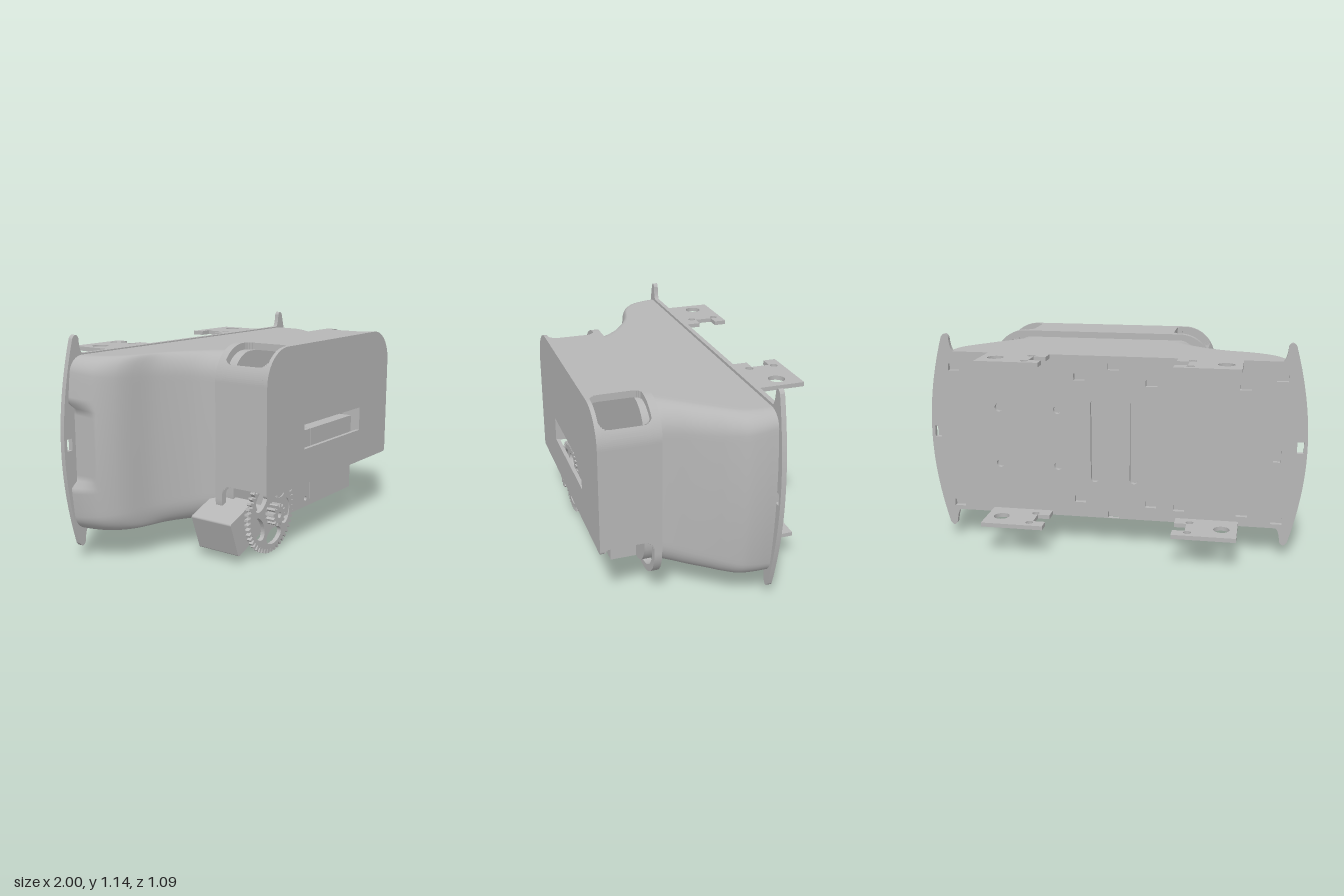
import * as THREE from 'three';

const grey = new THREE.MeshStandardMaterial({ color: 0xb6b6b6 });
grey.name = 'plain grey';

export function createModel() {
  const model = new THREE.Group();

  const add = (name, geo, parent = model) => {
    const mesh = new THREE.Mesh(geo, grey);
    mesh.name = name;
    parent.add(mesh);
    return mesh;
  };
  const group = (name) => {
    const g = new THREE.Group();
    g.name = name;
    model.add(g);
    return g;
  };
  const extrude = (shape, z0, z1) =>
    new THREE.ExtrudeGeometry(shape, { depth: z1 - z0, bevelEnabled: false, curveSegments: 20 }).translate(0, 0, z0);
  const polygon = (pts) => new THREE.Shape(pts.map(([x, y]) => new THREE.Vector2(x, y)));
  const rectHole = (shape, x, y, w, h) => shape.holes.push(new THREE.Path([
    new THREE.Vector2(x - w / 2, y - h / 2), new THREE.Vector2(x + w / 2, y - h / 2),
    new THREE.Vector2(x + w / 2, y + h / 2), new THREE.Vector2(x - w / 2, y + h / 2)]));
  const ellipseHole = (shape, x, y, rx, ry = rx, turn = 0) =>
    shape.holes.push(new THREE.Path().absellipse(x, y, rx, ry, 0, Math.PI * 2, false, turn));
  const box = (name, x0, x1, y0, y1, z0, z1) => add(name, new THREE.BoxGeometry(x1 - x0, y1 - y0, z1 - z0)
    .translate((x0 + x1) / 2, (y0 + y1) / 2, (z0 + z1) / 2));
  const roundedRect = (x0, x1, y0, y1, r, Type = THREE.Shape) => {
    const s = new Type();
    s.absarc(x1 - r, y1 - r, r, 0, Math.PI / 2);
    s.absarc(x0 + r, y1 - r, r, Math.PI / 2, Math.PI);
    s.absarc(x0 + r, y0 + r, r, Math.PI, Math.PI * 1.5);
    s.absarc(x1 - r, y0 + r, r, Math.PI * 1.5, Math.PI * 2);
    s.closePath();
    return s;
  };

  // Back plate with bowed ends, four horns, slots and fixing holes
  const plate = new THREE.Shape();
  plate.moveTo(-0.86, 1.045);
  plate.lineTo(0.86, 1.045);
  plate.quadraticCurveTo(0.878, 1.06, 0.882, 1.12);
  plate.quadraticCurveTo(0.9, 1.155, 0.922, 1.12);
  plate.quadraticCurveTo(1, 0.85, 1, 0.603);
  plate.quadraticCurveTo(1, 0.355, 0.922, 0.085);
  plate.quadraticCurveTo(0.9, 0.05, 0.882, 0.085);
  plate.quadraticCurveTo(0.878, 0.145, 0.86, 0.16);
  plate.lineTo(-0.86, 0.16);
  plate.quadraticCurveTo(-0.878, 0.145, -0.882, 0.085);
  plate.quadraticCurveTo(-0.9, 0.05, -0.922, 0.085);
  plate.quadraticCurveTo(-1, 0.355, -1, 0.603);
  plate.quadraticCurveTo(-1, 0.85, -0.922, 1.12);
  plate.quadraticCurveTo(-0.9, 1.155, -0.882, 1.12);
  plate.quadraticCurveTo(-0.878, 1.06, -0.86, 1.045);
  for (const x of [0.1, -0.11]) plate.holes.push(roundedRect(x - 0.022, x + 0.022, 0.36, 0.81, 0.021, THREE.Path));
  for (const x of [0.62, 0.3]) for (const y of [0.75, 0.44]) ellipseHole(plate, x, y, 0.022);
  for (const [x, y] of [[0.18, 0.93], [0, 0.99], [-0.2, 0.91], [-0.68, 0.91], [-0.86, 0.96], [0.86, 0.96], [0.86, 0.2],
    [0.18, 0.26], [0, 0.18], [-0.2, 0.25], [-0.35, 0.24], [-0.68, 0.23], [-0.86, 0.2]]) rectHole(plate, x, y, 0.06, 0.036);
  rectHole(plate, -0.85, 0.57, 0.04, 0.1);
  for (const x of [-0.965, 0.965]) rectHole(plate, x, 0.603, 0.034, 0.06);
  add('backPlate', extrude(plate, -0.305, -0.28));

  // Small spacers between plate and housing
  for (const x of [-0.84, 0, 0.84]) for (const y of [0.2, 0.6, 1.0])
    if (x || y !== 0.6) box('spacer', x - 0.03, x + 0.03, y - 0.015, y + 0.015, -0.282, -0.265);

  // Mounting tabs sticking out behind the plate
  for (const side of [-1, 1]) for (const y of [0.162, 1.023]) {
    const tab = polygon([[0.335, 0.3], [0.665, 0.3], [0.665, 0.54], [0.335, 0.54],
      [0.335, 0.475], [0.4, 0.475], [0.4, 0.38], [0.335, 0.38]].map(([x, z]) => [side * x, z]));
    ellipseHole(tab, side * 0.585, 0.43, 0.042);
    for (const z of [0.496, 0.36]) ellipseHole(tab, side * 0.415, z, 0.02);
    add('mountingTab', extrude(tab, 0, 0.022).rotateX(-Math.PI / 2).translate(0, y, 0));
  }

  // Housing: rounded sections narrowing towards the front
  const profile = new THREE.CatmullRomCurve3([
    [-0.98, 0.98, -0.27], [-0.965, 0.98, -0.2], [-0.935, 0.97, -0.13], [-0.85, 0.93, -0.06], [-0.66, 0.885, 0.0],
    [-0.5, 0.81, 0.1], [-0.435, 0.755, 0.17], [-0.4, 0.72, 0.23], [-0.4, 0.72, 0.3]].map((p) => new THREE.Vector3(...p)));
  const section = ({ x: xl, y: xr, z }, t) => {
    const r = 0.075 + 0.07 * t, pts = [];
    const corners = [[xr - r, 1.04 - r, 0], [xl + r, 1.04 - r, 1], [xl + r, 0.16 + r, 2], [xr - r, 0.16 + r, 3]];
    corners.forEach(([cx, cy, q], i) => {
      for (let k = 0; k <= 8; k++) {
        const a = (q + k / 8) * Math.PI / 2;
        pts.push([cx + r * Math.cos(a), cy + r * Math.sin(a)]);
      }
      const [nx, ny] = corners[(i + 1) % 4], a = (q + 1) * Math.PI / 2;
      for (let k = 1; k < 24; k++)
        pts.push([cx + (nx - cx) * k / 24 + r * Math.cos(a), cy + (ny - cy) * k / 24 + r * Math.sin(a)]);
    });
    return pts.map(([x, y]) => {
      const bowed = x * (1 - 0.035 * (1 - t) * ((y - 0.6) / 0.44) ** 2);
      return [Math.abs(y - 0.6) < 0.2 ? Math.max(bowed, -0.935) : bowed, y, z]; // shallow side recess
    });
  };
  const steps = 40, rings = [];
  for (let i = 0; i <= steps; i++) rings.push(section(profile.getPoint(i / steps), i / steps));
  const n = rings[0].length, index = [];
  for (let i = 0; i < steps; i++) for (let j = 0; j < n; j++) {
    const a = i * n + j, b = i * n + (j + 1) % n;
    index.push(a, b, b + n, a, b + n, a + n);
  }
  const shell = new THREE.BufferGeometry();
  shell.setAttribute('position', new THREE.Float32BufferAttribute(rings.flat(2), 3));
  shell.setIndex(index);
  shell.computeVertexNormals();
  const housing = group('housing');
  add('housingShell', shell, housing);
  add('housingFront', new THREE.ShapeGeometry(polygon(rings[steps])).translate(0, 0, 0.3), housing);
  add('housingBack', new THREE.ShapeGeometry(polygon(rings[0])).rotateY(Math.PI)
    .scale(1, 1, 1).translate(0, 0, -0.27), housing).geometry.copy(
    new THREE.ShapeGeometry(polygon(rings[0].map(([x, y]) => [-x, y]))).rotateY(Math.PI).translate(0, 0, -0.27));

  // Front cover: flange ring, wall with corner windows and open bottom, front panel
  const cover = group('frontCover');
  const L = -0.465, R = 0.8, T = 1.08, rad = 0.18, wall = 0.035;
  const flange = roundedRect(L, R, 0.12, T, rad);
  flange.holes.push(roundedRect(L + wall, R - wall, 0.12 + wall, T - wall, rad - wall, THREE.Path));
  add('coverFlange', extrude(flange, 0.235, 0.275), cover);

  const arm = (y0, angle, mirror) => {
    const outer = [[L, y0]], inner = [[L + wall, y0]];
    for (let k = 0; k <= 10; k++) {
      const a = Math.PI - angle * k / 10, c = Math.cos(a), s = Math.sin(a);
      outer.push([L + rad + rad * c, T - rad + rad * s]);
      inner.push([L + rad + (rad - wall) * c, T - rad + (rad - wall) * s]);
    }
    return polygon([...outer, ...inner.reverse()].map(([x, y]) => [mirror ? L + R - x : x, y]));
  };
  const layers = [0.275, 0.279, 0.285, 0.293, 0.305, 0.33, 0.48, 0.5, 0.51, 0.517, 0.525];
  for (let i = 0; i < layers.length - 1; i++) {
    const z0 = layers[i], z1 = layers[i + 1], z = (z0 + z1) / 2;
    const e = Math.min(0.05, z - 0.27, 0.527 - z);
    const inset = 0.05 - Math.sqrt(0.0025 - (0.05 - e) ** 2); // rounds the window corners
    let y0 = 0.375;
    if (z < 0.33) y0 = 0.32 + Math.sqrt(Math.max(0, 0.003025 - (0.33 - z) ** 2));
    if (z > 0.5) y0 = 0.375 - 0.025 * ((z - 0.5) / 0.025) ** 2;
    for (const mirror of [false, true]) add('coverSide', extrude(arm(y0, 0.52 + inset / rad, mirror), z0, z1), cover);
    const x = -0.245 - inset;
    add('coverTop', extrude(polygon([[x, T - wall], [L + R - x, T - wall], [L + R - x, T], [x, T]]), z0, z1), cover);
  }
  const panel = new THREE.Shape();
  panel.moveTo(L + 0.02, 0.35);
  panel.lineTo(R - 0.02, 0.35);
  panel.quadraticCurveTo(R, 0.35, R, 0.37);
  panel.absarc(R - rad, T - rad, rad, 0, Math.PI / 2);
  panel.absarc(L + rad, T - rad, rad, Math.PI / 2, Math.PI);
  panel.lineTo(L, 0.37);
  panel.quadraticCurveTo(L, 0.35, L + 0.02, 0.35);
  rectHole(panel, 0.175, 0.6, 0.59, 0.13);
  add('frontPanel', extrude(panel, 0.525, 0.545), cover);

  // Inner boxes seen below the cover and through its slot
  const bracket = polygon([[-0.2, 0.16], [0.118, 0.16], [0.118, 0.59], [-0.2, 0.59]]);
  ellipseHole(bracket, 0.08, 0.205, 0.013);
  add('bracketPlate', extrude(bracket, 0.41, 0.435));
  box('bracketBody', -0.2, 0.118, 0.16, 0.59, 0.29, 0.412);
  box('innerBox', 0.122, 0.575, 0.16, 0.59, 0.29, 0.435);

  // Tilted motor block behind the gear
  const motor = add('motor', extrude(roundedRect(-0.11, 0.11, -0.098, 0.098, 0.01), 0.17, 0.415));
  motor.position.set(-0.445, 0.172, 0);
  motor.rotation.z = 0.35;

  // Spoked gear with a pinion on its front
  const toothed = (count, rOut, rIn) => {
    const pts = [];
    for (let i = 0; i < count; i++)
      for (const [f, r] of [[0, rIn], [0.3, rIn], [0.45, rOut], [0.85, rOut]]) {
        const a = (i + f) / count * Math.PI * 2;
        pts.push([r * Math.cos(a), r * Math.sin(a)]);
      }
    return polygon(pts);
  };
  const gear = group('gear');
  gear.position.set(-0.26, 0.21, 0);
  const wheel = toothed(46, 0.21, 0.187);
  for (let i = 0; i < 5; i++) {
    const a = (-80 + 72 * i) * Math.PI / 180;
    ellipseHole(wheel, 0.127 * Math.cos(a), 0.127 * Math.sin(a), 0.042, 0.068, a);
  }
  add('gearWheel', extrude(wheel, 0.417, 0.441), gear);
  const pinion = toothed(12, 0.058, 0.042);
  ellipseHole(pinion, 0, 0, 0.016);
  add('pinion', extrude(pinion, 0.441, 0.49), gear);
  add('gearShaft', new THREE.CylinderGeometry(0.03, 0.03, 0.1, 20).rotateX(Math.PI / 2).translate(0, 0, 0.37), gear);

  return model;
}
